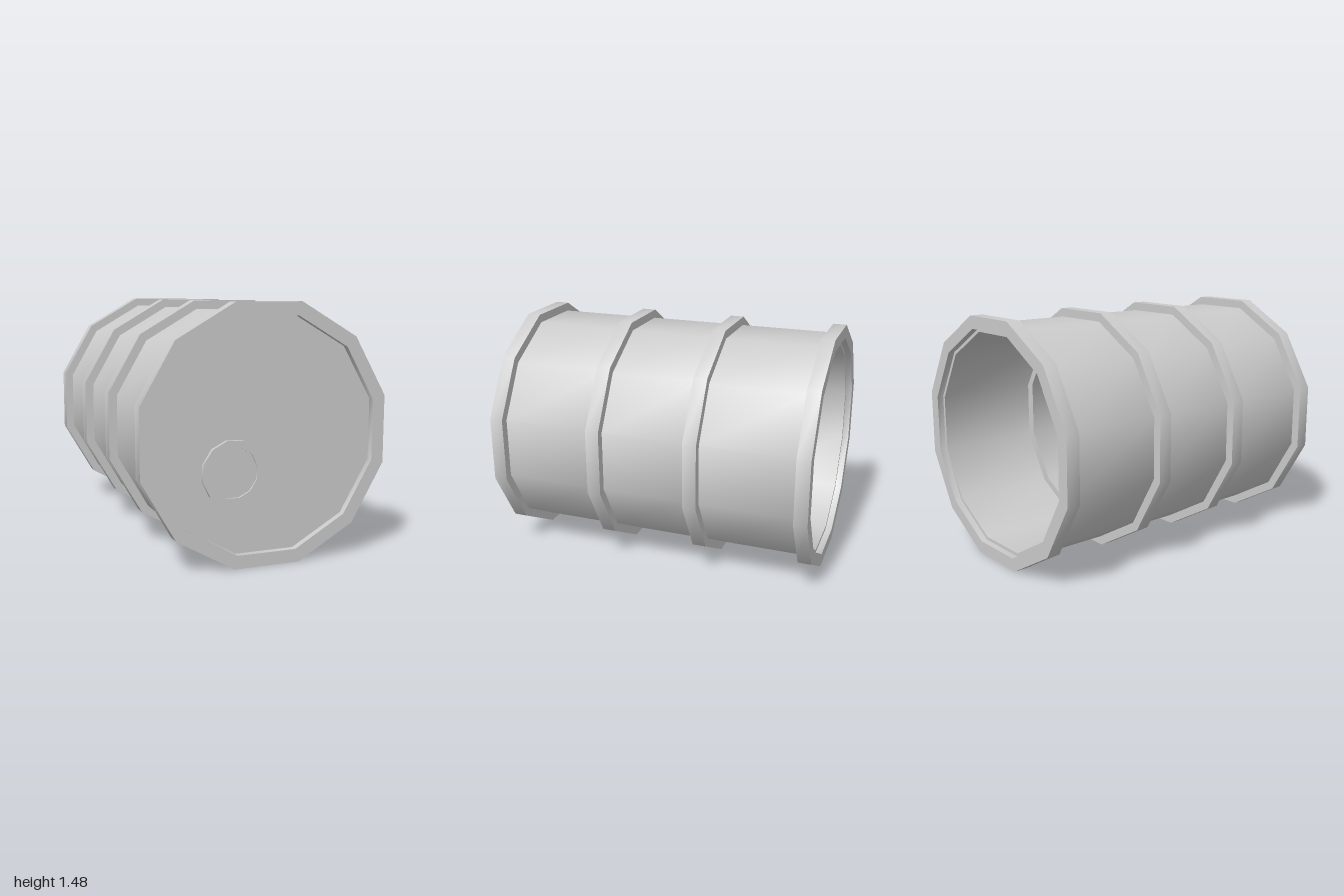
import * as THREE from 'three';
import { toCreasedNormals } from 'three/addons/utils/BufferGeometryUtils.js';

const SIDES = 12;
const RIM = 0.742, WALL = 0.69, LIP = 0.665, INNER = 0.645, GROOVE = 0.7;
const HOOPS = [-0.298, 0.312]; // hoop centres along z

// Twelve-sided turned part along z; profile holds [flat radius, z] pairs.
function turned(name, profile, angle, material) {
  const k = 1 / Math.cos(Math.PI / SIDES);
  const points = profile.map(([r, z]) => new THREE.Vector2(r * k, z));
  const lathe = new THREE.LatheGeometry(points, SIDES, angle);
  lathe.rotateX(Math.PI / 2);
  const mesh = new THREE.Mesh(toCreasedNormals(lathe, THREE.MathUtils.degToRad(40)), material);
  mesh.name = name;
  return mesh;
}

export function createModel() {
  const group = new THREE.Group();
  group.name = 'barrel';
  const material = new THREE.MeshStandardMaterial({ color: 0xcccccc, side: THREE.DoubleSide });

  // Inside of the shell, front to back, with a groove behind each hoop
  const profile = [[0, 0.935], [INNER, 0.935]];
  for (const z of [...HOOPS].reverse()) {
    profile.push([INNER, z + 0.018], [GROOVE, z + 0.018], [GROOVE, z - 0.018], [INNER, z - 0.018]);
  }
  // Open back rim
  profile.push([INNER, -0.96], [LIP, -0.96], [LIP, -1], [RIM, -1], [RIM, -0.917], [WALL, -0.917]);
  // Outside with raised hoops, back to front
  for (const z of HOOPS) {
    profile.push([WALL, z - 0.042], [RIM, z - 0.042], [RIM, z + 0.042], [WALL, z + 0.042]);
  }
  // Front rim and recessed lid
  profile.push([WALL, 0.917], [RIM, 0.917], [RIM, 1], [LIP, 1], [LIP, 0.96], [0, 0.96]);
  const shell = turned('shell', profile, Math.PI / 12, material);
  shell.position.y = RIM;
  group.add(shell);

  // Filler cap on the lid: low collar around a sunken disc
  const cap = turned('fillerCap', [
    [0.181, 0], [0.181, 0.022], [0.141, 0.022], [0.141, 0.01], [0, 0.01],
  ], THREE.MathUtils.degToRad(12), material);
  cap.position.set(-0.198, 0.546, 0.96);
  group.add(cap);

  return group;
}
